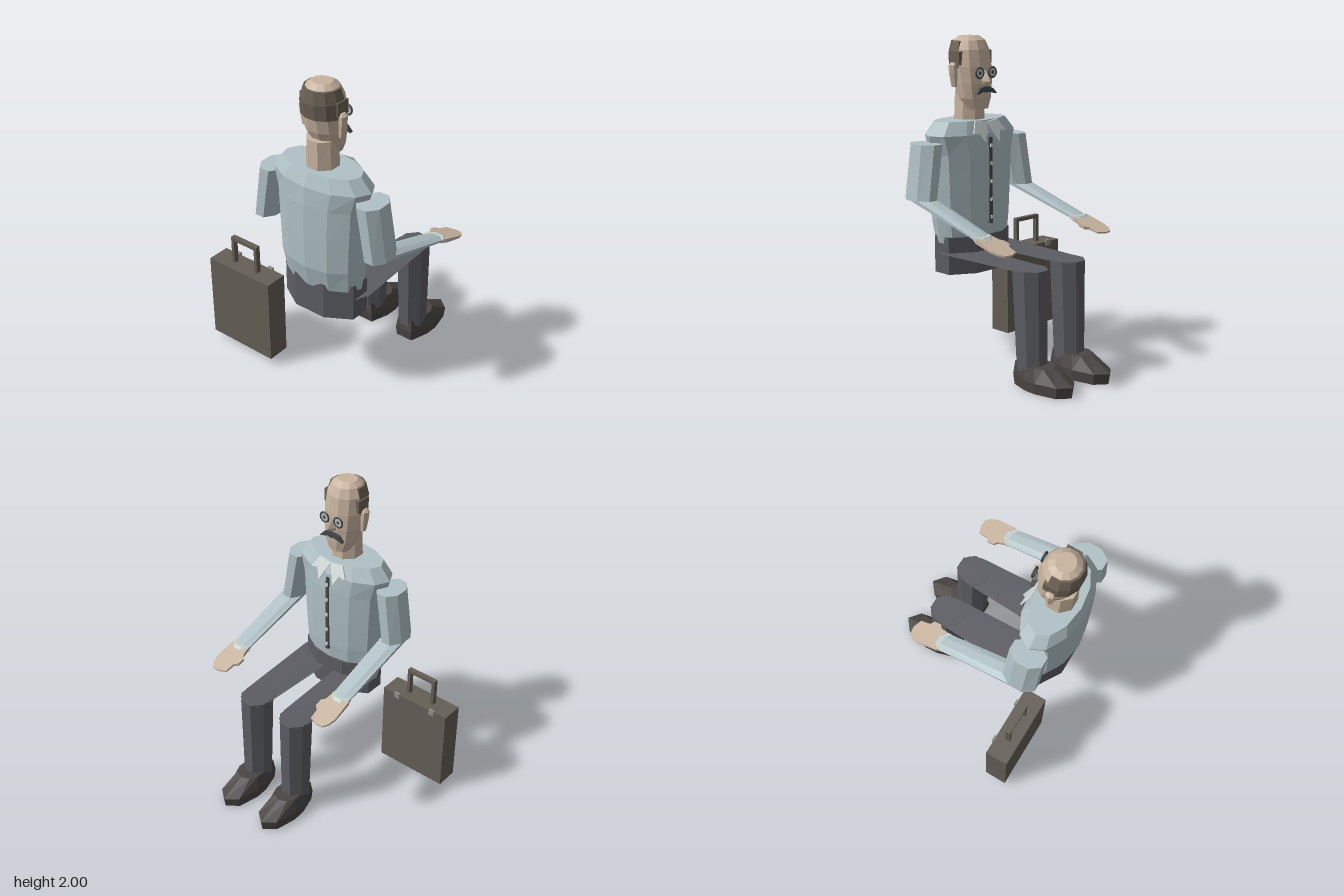
import * as THREE from 'three';

const CX = 0.16; // the figure's own centre line
const mat = (color) => new THREE.MeshStandardMaterial({ color, flatShading: true, side: THREE.DoubleSide });
const skin = mat(0xc8b4a0), shirt = mat(0xb0c1c5), cuffMat = mat(0xc8d0cc), trousers = mat(0x5c5d63),
  leather = mat(0x4a4644), hairMat = mat(0x6b6154), caseMat = mat(0x645f56), metal = mat(0x8f8f86),
  dark = mat(0x45484a), lensMat = mat(0xb9c2c4), white = mat(0xd3dbdb);

// Horizontal elliptical ring: [centre x, y, centre z, radius x, radius z]
function ring([cx, y, cz, rx, rz], n, start = 0, arc = Math.PI * 2) {
  const full = arc > 6.2;
  return Array.from({ length: n }, (_, i) => {
    const a = start + (arc * i) / (full ? n : n - 1);
    return [cx + rx * Math.cos(a), y, cz + rz * Math.sin(a)];
  });
}

// Skin a stack of rings (bottom to top) and cap both ends
function skinRings(rings) {
  const n = rings[0].length, pos = rings.flat(2), idx = [], last = (rings.length - 1) * n;
  for (let r = 0; r < rings.length - 1; r++) {
    for (let i = 0; i < n; i++) {
      const a = r * n + i, b = r * n + ((i + 1) % n);
      idx.push(a, a + n, b, b, a + n, b + n);
    }
  }
  for (let i = 1; i < n - 1; i++) {
    idx.push(0, i, i + 1);
    idx.push(last, last + i + 1, last + i);
  }
  const g = new THREE.BufferGeometry();
  g.setAttribute('position', new THREE.Float32BufferAttribute(pos, 3));
  g.setIndex(idx);
  g.computeVertexNormals();
  return g;
}
const loft = (rows, n, start) => skinRings(rows.map((r) => ring(r, n, start)));

function plate(points, depth) {
  const shape = new THREE.Shape(points.map(([x, y]) => new THREE.Vector2(x, y)));
  return new THREE.ExtrudeGeometry(shape, { depth, bevelEnabled: false });
}

// Shift vertices by a rule
function bend(g, rule) {
  const p = g.attributes.position;
  for (let i = 0; i < p.count; i++) p.setXYZ(i, ...rule(p.getX(i), p.getY(i), p.getZ(i)));
  g.computeVertexNormals();
  return g;
}

export function createModel() {
  const model = new THREE.Group();
  const add = (name, geo, material, x = 0, y = 0, z = 0) => {
    const m = new THREE.Mesh(geo, material);
    m.name = name;
    m.position.set(x, y, z);
    model.add(m);
    return m;
  };
  const box = (name, material, x0, x1, y0, y1, z0, z1) =>
    add(name, new THREE.BoxGeometry(x1 - x0, y1 - y0, z1 - z0), material, (x0 + x1) / 2, (y0 + y1) / 2, (z0 + z1) / 2);

  // Torso and hips
  add('torso', loft([
    [CX, 0.76, 0.41, 0.265, 0.152], [CX, 0.9, 0.418, 0.28, 0.176], [CX, 1.1, 0.416, 0.29, 0.18],
    [CX, 1.3, 0.414, 0.3, 0.18], [CX, 1.42, 0.414, 0.335, 0.172], [CX, 1.5, 0.417, 0.265, 0.138],
  ], 12), shirt);
  add('hips', loft([[CX, 0.57, 0.405, 0.275, 0.165], [CX, 0.8, 0.405, 0.275, 0.165]], 8, Math.PI / 8), trousers)
    .scale.x = 1.0;

  // Button strip down the chest
  box('buttonStrip', dark, CX - 0.011, CX + 0.011, 0.87, 1.4, 0.231, 0.25);
  for (let i = 0; i < 5; i++) box('button', white, CX - 0.007, CX + 0.007, 0.9 + i * 0.11, 0.92 + i * 0.11, 0.224, 0.234);

  // Neck and head
  add('neck', loft([[CX, 1.48, 0.42, 0.1, 0.1], [CX, 1.67, 0.42, 0.09, 0.095]], 8, Math.PI / 8), skin);
  add('head', loft([
    [CX, 1.565, 0.345, 0.07, 0.055], [CX, 1.63, 0.37, 0.105, 0.09], [CX, 1.72, 0.388, 0.12, 0.113],
    [CX, 1.82, 0.4, 0.126, 0.12], [CX, 1.92, 0.41, 0.12, 0.116], [CX, 1.975, 0.414, 0.095, 0.095],
    [CX, 2.0, 0.417, 0.062, 0.058],
  ], 12, Math.PI / 12), skin);
  add('nose', loft([[CX, 1.715, 0.282, 0.026, 0.03], [CX, 1.735, 0.28, 0.028, 0.047], [CX, 1.8, 0.285, 0.012, 0.014]], 4), skin);

  // Hair round the back of the head
  const hairRows = [[CX, 1.81, 0.41, 0.132, 0.12], [CX, 1.9, 0.412, 0.13, 0.126], [CX, 1.972, 0.414, 0.107, 0.11]];
  add('hair', skinRings(hairRows.map((r) => ring(r, 8, -0.25, Math.PI + 0.5))), hairMat);

  // Moustache
  add('moustache', plate([
    [-0.085, -0.025], [-0.055, 0.008], [-0.02, 0.022], [0.02, 0.022], [0.055, 0.008], [0.085, -0.025],
    [0.05, -0.016], [0.025, -0.008], [0, -0.014], [-0.025, -0.008], [-0.05, -0.016],
  ], 0.025), dark, CX, 1.68, 0.262);

  for (const s of [-1, 1]) {
    const side = s > 0 ? 'left' : 'right';
    const at = (dx) => CX + s * dx;

    // Face details
    add('ear', loft([[at(0.128), 1.7, 0.412, 0.016, 0.02], [at(0.135), 1.78, 0.412, 0.024, 0.028],
      [at(0.138), 1.83, 0.412, 0.024, 0.03], [at(0.13), 1.845, 0.412, 0.015, 0.02]], 6), skin);
    const burn = [at(0.105), at(0.132)].sort((a, b) => a - b);
    box('sideburn', hairMat, burn[0], burn[1], 1.83, 1.91, 0.36, 0.45);
    add('glassesRim', new THREE.TorusGeometry(0.031, 0.006, 5, 12), dark, at(0.052), 1.785, 0.268);
    add('lens', new THREE.CircleGeometry(0.03, 12), lensMat, at(0.052), 1.785, 0.268);
    add('pupil', new THREE.CircleGeometry(0.011, 8), dark, at(0.052), 1.785, 0.265);

    // Collar flap lying on the chest
    add('collar', bend(plate([[0, 1.49], [0.09, 1.502], [0.132, 1.43], [0.085, 1.44], [0.055, 1.375]]
      .map(([x, y]) => [at(x), y]), 0.008), (x, y, z) => [x, y, z + 0.268 - (1.5 - y) * 0.45]), white);

    // Arm: sleeve, flattened forearm, cuff and hand
    add(side + 'Sleeve', loft([[at(0.402), 1.05, 0.415, 0.078, 0.118], [at(0.347), 1.38, 0.42, 0.085, 0.115]], 8, Math.PI / 8), shirt);
    add(side + 'Forearm', loft([[at(0.405), 0.9, -0.12, 0.064, 0.05], [at(0.402), 1.055, 0.41, 0.075, 0.105]], 8, Math.PI / 8), shirt);
    add(side + 'Cuff', loft([[at(0.405), 0.882, -0.14, 0.066, 0.045], [at(0.405), 0.912, -0.105, 0.066, 0.05]], 8, Math.PI / 8), cuffMat);
    const hand = plate([[0.345, 0.13], [0.335, 0.18], [0.314, 0.2], [0.314, 0.245], [0.34, 0.262], [0.346, 0.325], [0.4, 0.345],
      [0.445, 0.34], [0.468, 0.31], [0.48, 0.265], [0.472, 0.13]].map(([x, y]) => [at(x), y]), 0.026);
    hand.rotateX(-Math.PI / 2);
    add(side + 'Hand', bend(hand, (x, y, z) => [x, 0.882 + y * (1 + (z + 0.13) * 3) + (z + 0.13) * 0.24, z]), skin);

    // Leg: paper-flat thigh, shin and shoe
    add(side + 'Thigh', loft([[at(0.16), 0.699, -0.25, 0.1, 0.11], [at(0.163), 0.703, 0.37, 0.13, 0.12]], 8), trousers);
    add(side + 'Shin', loft([[at(0.16), 0.1, -0.268, 0.088, 0.1], [at(0.16), 0.703, -0.25, 0.1, 0.115]], 8, Math.PI / 8), trousers);
    const sole = [[0.06, -0.172], [0.1, -0.3], [0.105, -0.39], [0.075, -0.535], [0, -0.595]];
    const upper = [[0.05, -0.18], [0.075, -0.26], [0.08, -0.36], [0.055, -0.41], [0, -0.435]];
    const outline = (half, y, k) => {
      const pts = [...half].reverse().concat(half.slice(0, 4).map(([x, z]) => [-x, z]));
      return pts.map(([x, z]) => [at(0.16) + x * k, y, -0.35 + (z + 0.35) * k]);
    };
    add(side + 'Shoe', skinRings([outline(sole, 0, 0.95), outline(sole, 0.065, 1), outline(upper, 0.143, 1)]), leather);
  }

  // Briefcase with handle and latches
  box('briefcase', caseMat, -0.64, -0.16, 0.05, 0.605, 0.42, 0.565);
  for (const x of [-0.505, -0.321]) box('handlePost', caseMat, x, x + 0.021, 0.605, 0.767, 0.475, 0.507);
  box('handleGrip', caseMat, -0.505, -0.3, 0.765, 0.788, 0.475, 0.507);
  for (const x of [-0.555, -0.287]) box('latch', metal, x, x + 0.038, 0.58, 0.618, 0.41, 0.425);

  return model;
}
